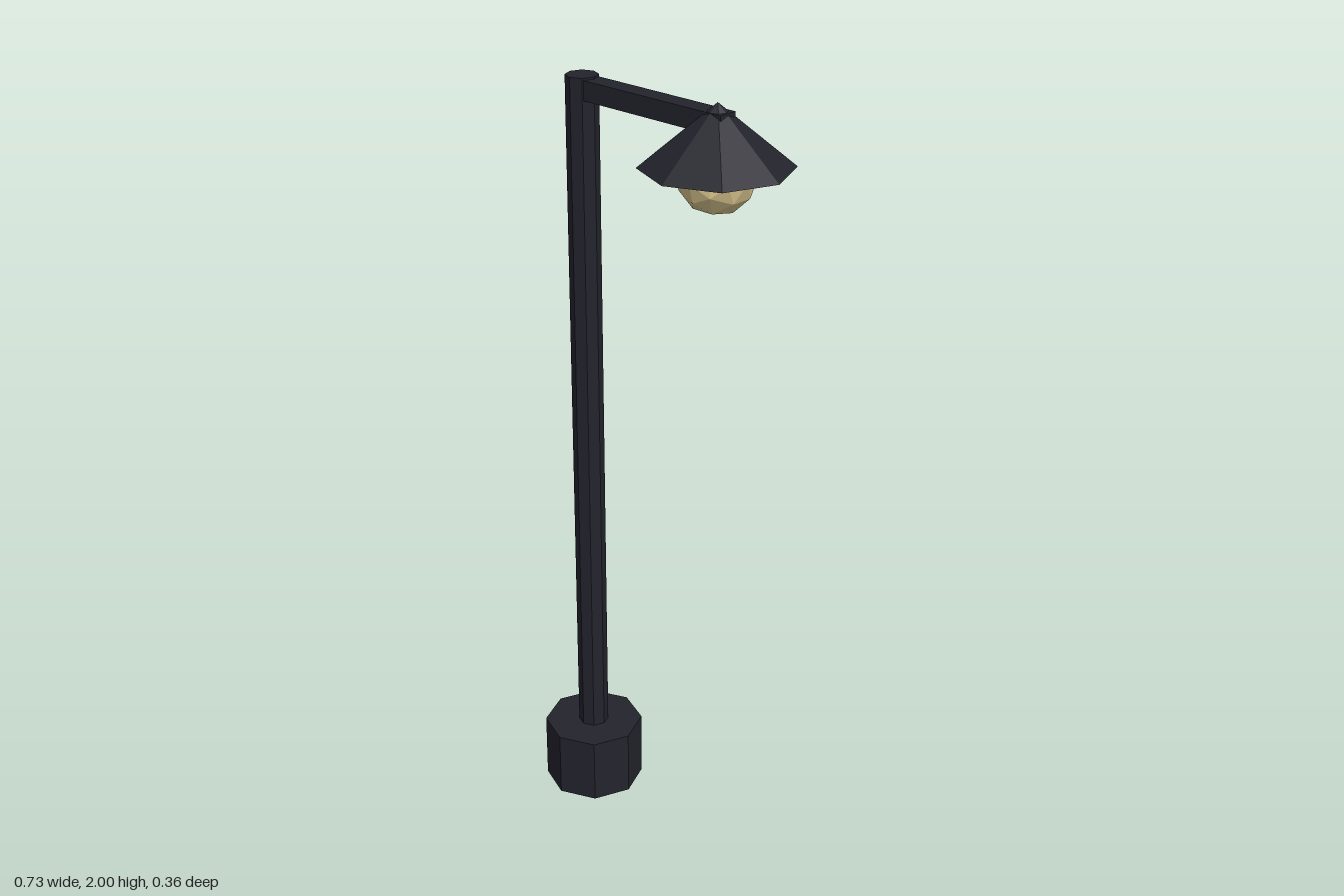
import * as THREE from 'three';

const POLE_X = -0.235;
const LAMP_X = 0.185;

export function createModel() {
  const model = new THREE.Group();
  model.name = 'streetLamp';

  const darkMetal = new THREE.MeshStandardMaterial({ color: 0x23232d, flatShading: true });
  darkMetal.name = 'dark metal';
  const warmGlass = new THREE.MeshStandardMaterial({ color: 0xdac68e, flatShading: true });
  warmGlass.name = 'warm glass';

  const add = (name, geometry, material, x, y) => {
    const mesh = new THREE.Mesh(geometry, material);
    mesh.name = name;
    mesh.position.set(x, y, 0);
    model.add(mesh);
  };

  // Octagonal footing and post
  add('base', new THREE.CylinderGeometry(0.132, 0.132, 0.18, 8), darkMetal, POLE_X, 0.09);
  add('pole', new THREE.CylinderGeometry(0.04, 0.04, 1.885, 8), darkMetal, POLE_X, 1.0425);

  // Square arm running from the post through the shade
  add('arm', new THREE.BoxGeometry(0.45, 0.048, 0.05), darkMetal, -0.01, 1.956);

  // Conical shade with the faceted bulb below it
  add('shade', new THREE.ConeGeometry(0.18, 0.147, 8), darkMetal, LAMP_X, 1.9265);
  add('bulb', new THREE.IcosahedronGeometry(0.093, 1), warmGlass, LAMP_X, 1.837);

  return model;
}
